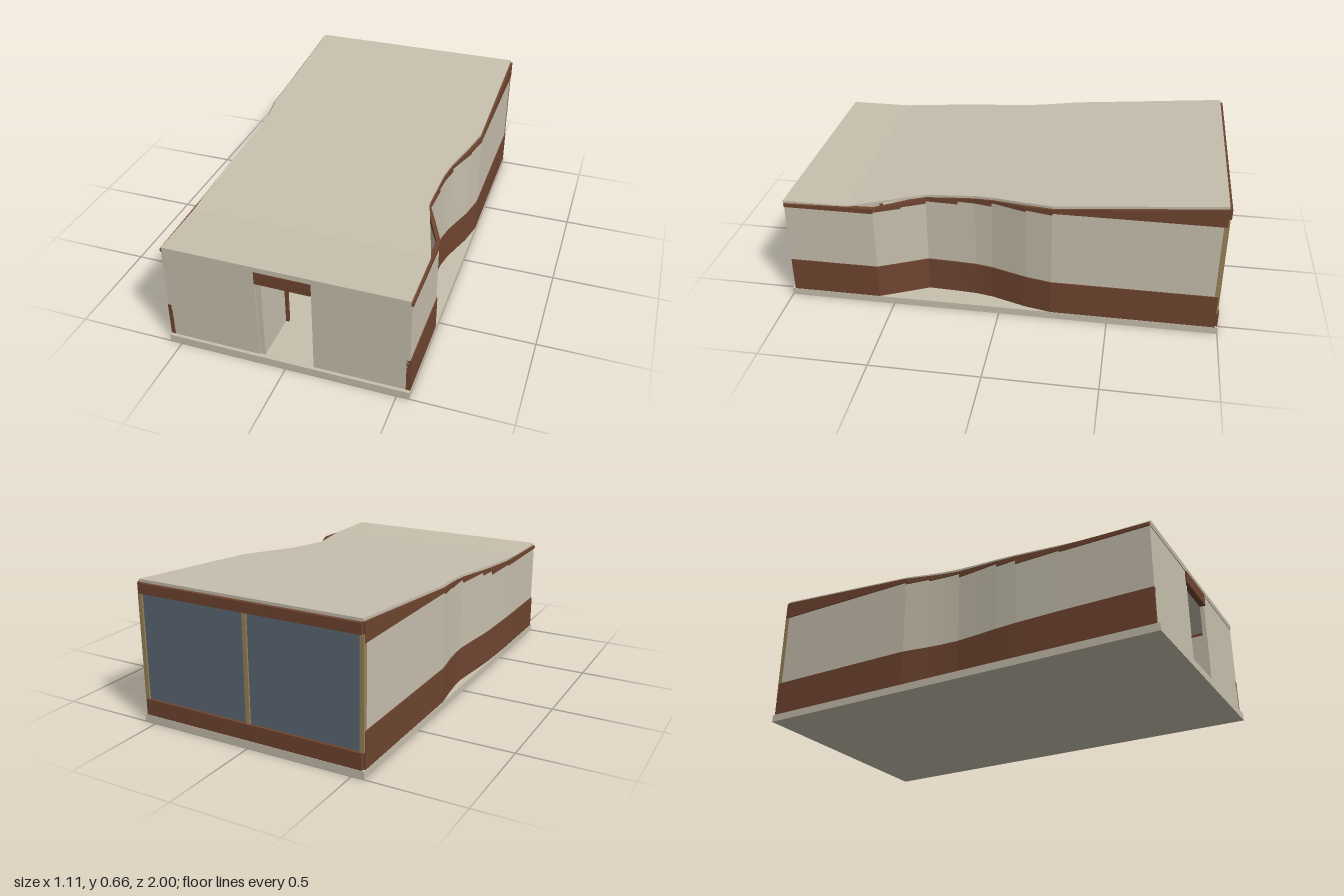
import * as THREE from 'three';
import { mergeGeometries } from 'three/addons/utils/BufferGeometryUtils.js';

const mat = (name, color) => {
  const m = new THREE.MeshStandardMaterial({ color });
  m.name = name;
  return m;
};

// Straight prism between two upright rectangles, each {z, x0, x1, b0, b1, t0, t1}; a is nearer the front
function prism(a, b) {
  const ring = (s) => [[s.x0, s.b0, s.z], [s.x1, s.b1, s.z], [s.x1, s.t1, s.z], [s.x0, s.t0, s.z]];
  const v = [...ring(a), ...ring(b)];
  const quads = [[0, 1, 2, 3], [5, 4, 7, 6], [1, 5, 6, 2], [4, 0, 3, 7], [3, 2, 6, 7], [4, 5, 1, 0]];
  const pos = quads.flatMap(([p, q, r, s]) => [p, q, r, p, r, s].flatMap((i) => v[i]));
  const g = new THREE.BufferGeometry();
  g.setAttribute('position', new THREE.Float32BufferAttribute(pos, 3));
  g.computeVertexNormals();
  return g;
}
const section = (z, x0, x1, b, t) => ({ z, x0, x1, b0: b, b1: b, t0: t, t1: t });

// Piecewise linear lookup in a table of [z, value], z falling
function lookup(table, z) {
  for (let i = 1; i < table.length; i++) {
    const [z0, v0] = table[i - 1], [z1, v1] = table[i];
    if (z >= z1) return v0 + ((z0 - z) / (z0 - z1)) * (v1 - v0);
  }
  return table[table.length - 1][1];
}

// Outer line of each side wall in plan
const leftSide = [[0.985, 0.555], [0.57, 0.555], [0.455, 0.502], [0.35, 0.452], [0.2, 0.458], [0.12, 0.463],
  [0.04, 0.478], [-0.12, 0.53], [-0.24, 0.555], [-0.985, 0.555]];
const rightSide = [[0.985, 0.555], [0.57, 0.555], [0.35, 0.55], [0.25, 0.543], [0.15, 0.533], [0.04, 0.524],
  [-0.04, 0.528], [-0.12, 0.537], [-0.24, 0.555], [-0.985, 0.555]];
// Roof edges
const roofLeft = [[0.99, 0.545], [0.69, 0.545], [0.57, 0.51], [0.35, 0.445], [0.2, 0.451], [0.12, 0.456],
  [0.04, 0.47], [-0.12, 0.515], [-0.24, 0.545], [-0.985, 0.545]];
const roofRight = [[0.99, 0.545], [0.57, 0.545], [0.35, 0.542], [0.25, 0.537], [0.15, 0.529], [0.04, 0.522],
  [-0.04, 0.524], [-0.12, 0.53], [-0.24, 0.545], [-0.985, 0.545]];
const roofTop = [[0.99, 0.515], [0.69, 0.515], [-0.985, 0.662]];
// Stepped top of the pale wall panels
const panelTop = [[0.57, 0.488], [0.455, 0.495], [0.35, 0.502], [0.2, 0.515], [0.04, 0.53], [-0.12, 0.548],
  [-0.24, 0.556], [-1, 0.565]];

export function createModel() {
  const root = new THREE.Group();
  root.name = 'pavilion';
  const cream = mat('cream plaster', 0xc8c0ae);
  const brown = mat('brown cladding', 0x6f4530);
  const glass = mat('blue grey glass', 0x5c6a76);
  const tan = mat('tan frame', 0x9a8359);

  const add = (name, geo, material) => {
    const m = new THREE.Mesh(geo, material);
    m.name = name;
    root.add(m);
    return m;
  };
  const box = (name, material, x0, x1, y0, y1, z0, z1) => {
    const g = new THREE.BoxGeometry(x1 - x0, y1 - y0, z1 - z0);
    g.translate((x0 + x1) / 2, (y0 + y1) / 2, (z0 + z1) / 2);
    return add(name, g, material);
  };

  // Floor slab
  box('floorSlab', cream, -0.556, 0.556, 0, 0.035, -1, 1);

  // Curved side walls: lower cladding, pale panel, upper cladding
  for (const [side, path, sign] of [['left', leftSide, 1], ['right', rightSide, -1]]) {
    const lower = [], panel = [], upper = [];
    for (let i = 1; i < path.length; i++) {
      const [za, xa] = path[i - 1], [zb, xb] = path[i];
      const step = panelTop.find(([z]) => (za + zb) / 2 > z)[1];
      const piece = (inner, outer, bottom, top) => {
        const [a, b] = [[za, xa], [zb, xb]].map(([z, x]) => {
          const e = [sign * (x - inner), sign * (x - outer)].sort((p, q) => p - q);
          return section(z, e[0], e[1], bottom, top ?? lookup(roofTop, z) - 0.012);
        });
        return prism(a, b);
      };
      lower.push(piece(0.02, 0, 0.035, 0.2));
      panel.push(piece(0.02, 0.005, 0.2, step));
      upper.push(piece(0.02, 0, step));
    }
    add(side + 'LowerCladding', mergeGeometries(lower), brown);
    add(side + 'WallPanel', mergeGeometries(panel), cream);
    add(side + 'UpperCladding', mergeGeometries(upper), brown);
  }

  // Roof sheet, waisted in plan and rising to the back
  const zs = [...new Set([...roofLeft, ...roofRight].map((p) => p[0]))].sort((a, b) => b - a);
  const rows = zs.map((z) => {
    const y = lookup(roofTop, z);
    return section(z, -lookup(roofRight, z), lookup(roofLeft, z), y - 0.013, y);
  });
  add('roof', mergeGeometries(rows.slice(1).map((r, i) => prism(rows[i], r))), cream);
  box('frontFascia', cream, -0.545, 0.545, 0.49, 0.504, 0.965, 0.989);

  // Front wall with doorway
  for (const s of [-1, 1]) {
    const e = [s * 0.125, s * 0.545].sort((a, b) => a - b);
    box(s > 0 ? 'frontWallLeft' : 'frontWallRight', cream, e[0], e[1], 0.035, 0.49, 0.965, 0.985);
  }
  box('doorLintel', brown, -0.125, 0.125, 0.43, 0.49, 0.965, 0.992);

  // Door leaf standing open inside
  box('openDoor', cream, -0.125, -0.1, 0.035, 0.43, 0.74, 0.98);
  box('doorPost', brown, -0.1, -0.086, 0.035, 0.418, 0.735, 0.75);

  // Glazed back wall
  box('backSill', brown, -0.545, 0.545, 0.035, 0.11, -0.998, -0.975);
  box('backHeader', brown, -0.545, 0.545, 0.6, 0.647, -0.998, -0.975);
  box('backGlass', glass, -0.545, 0.545, 0.11, 0.6, -0.984, -0.978);
  for (const x of [-0.542, 0, 0.542]) box('backMullion', tan, x - 0.01, x + 0.01, 0.11, 0.6, -0.992, -0.97);

  return root;
}
